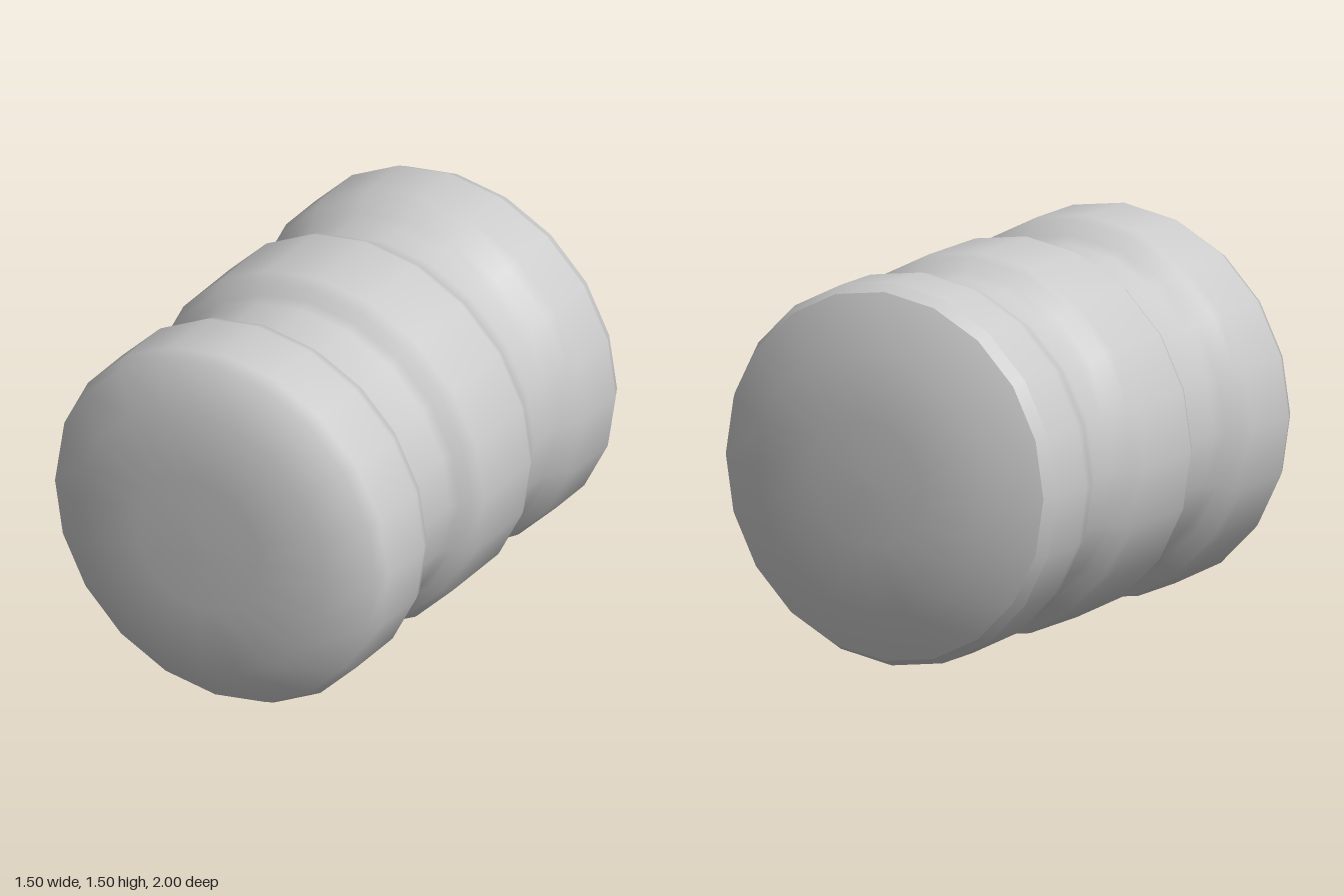
import * as THREE from 'three';

const SIDES = 20;
const RADIUS = 0.752;

// Revolves [z, radius] points, listed back to front, around the z axis
function turned(name, points, material) {
  const profile = points.map(([z, r]) => new THREE.Vector2(r, z));
  const geometry = new THREE.LatheGeometry(profile, SIDES);
  geometry.rotateX(Math.PI / 2);
  const mesh = new THREE.Mesh(geometry, material);
  mesh.name = name;
  mesh.position.y = RADIUS;
  return mesh;
}

export function createModel() {
  const group = new THREE.Group();
  group.name = 'groovedRoller';
  const material = new THREE.MeshStandardMaterial({ color: 0xcccccc });

  // Domed back end, meeting the bevel at a crisp edge
  group.add(turned('backCap', [
    [-1, 0], [-0.998, 0.25], [-0.965, 0.52], [-0.865, 0.725],
  ], material));

  // Narrow flat bevel around the back rim
  group.add(turned('backBevel', [[-0.865, 0.725], [-0.815, RADIUS]], material));

  // Smooth body with two grooves and a rounded front end
  group.add(turned('groovedBody', [
    [-0.815, RADIUS], [-0.605, RADIUS],
    // back groove
    [-0.55, 0.737], [-0.495, 0.7], [-0.44, 0.683],
    [-0.337, 0.683], [-0.283, 0.697], [-0.235, 0.737],
    // middle band
    [-0.198, RADIUS], [0.134, RADIUS],
    // front groove
    [0.18, 0.725], [0.203, 0.685], [0.24, 0.662],
    [0.433, 0.662], [0.476, 0.688], [0.524, 0.738],
    // front band and domed end
    [0.567, RADIUS], [0.823, RADIUS], [0.875, 0.725],
    [0.978, 0.56], [0.998, 0.28], [1, 0],
  ], material));

  return group;
}
